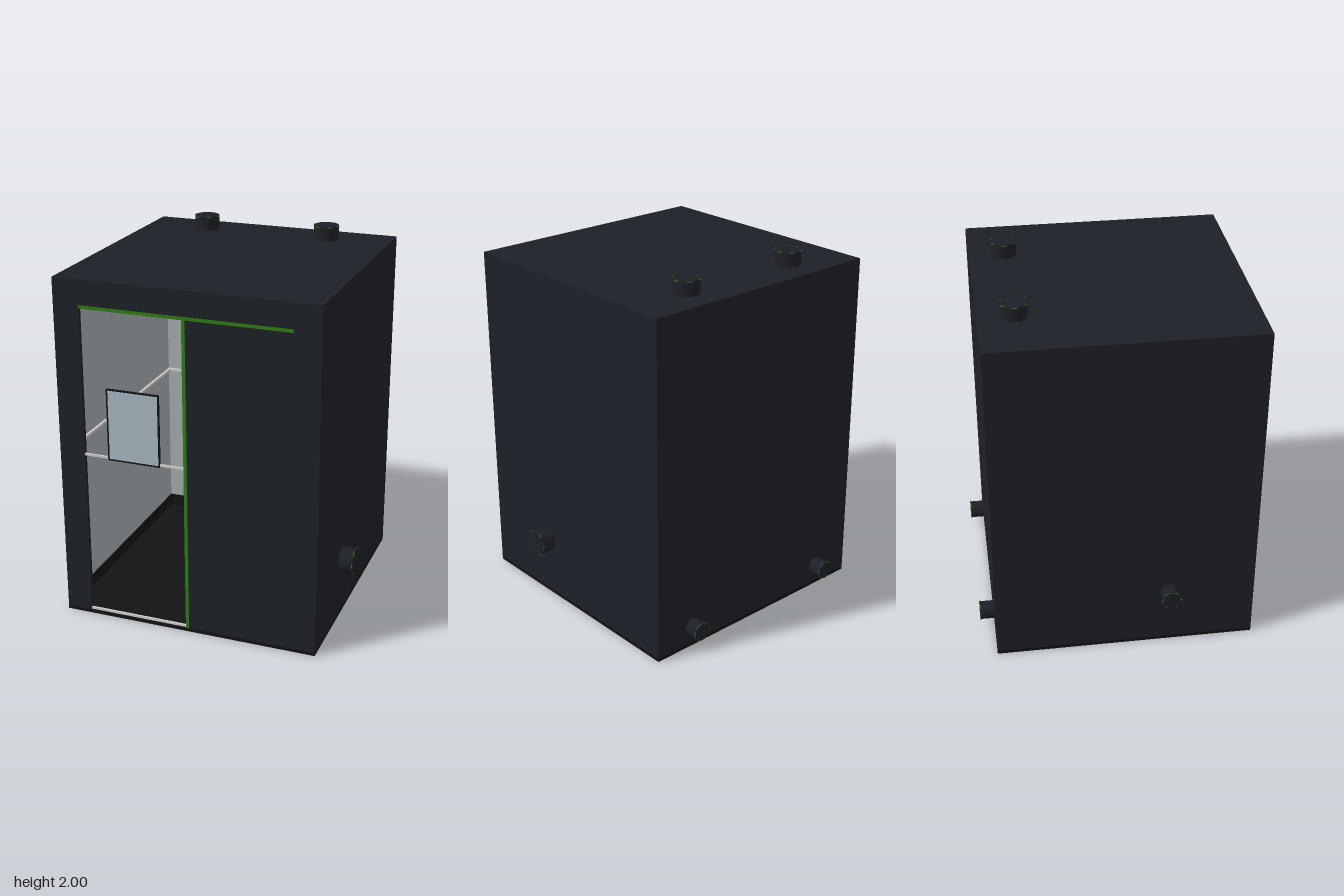
import * as THREE from 'three';

const mat = (color, side = THREE.FrontSide) => new THREE.MeshStandardMaterial({ color, side });

export function createModel() {
  const model = new THREE.Group();
  const dark = mat(0x1d2027), black = mat(0x111315), green = mat(0x2f7d14);
  const white = mat(0xcccccc), lining = mat(0xa8adb0), glass = mat(0xa9b8c2);

  function add(name, geometry, material, x = 0, y = 0, z = 0, parent = model) {
    const mesh = new THREE.Mesh(geometry, material);
    mesh.name = name;
    mesh.position.set(x, y, z);
    parent.add(mesh);
    return mesh;
  }
  // Box given by its lower and upper limits on each axis
  function box(name, material, [x0, x1], [y0, y1], [z0, z1], parent = model) {
    return add(name, new THREE.BoxGeometry(x1 - x0, y1 - y0, z1 - z0), material,
      (x0 + x1) / 2, (y0 + y1) / 2, (z0 + z1) / 2, parent);
  }

  // Cabin shell
  box('floor', black, [-0.72, 0.72], [0, 0.02], [-0.68, 0.755]);
  box('roof', dark, [-0.72, 0.72], [1.9, 1.92], [-0.68, 0.755]);
  box('backWall', dark, [-0.72, 0.72], [0.02, 1.9], [-0.68, -0.66]);
  box('rightWall', dark, [-0.72, -0.7], [0.02, 1.9], [-0.66, 0.755]);
  box('leftWall', dark, [0.7, 0.72], [0.02, 1.9], [-0.66, 0.755]);

  // Front wall with the doorway
  const front = new THREE.Shape([[-0.7, 0.02], [0.7, 0.02], [0.7, 1.9], [-0.7, 1.9]].map(p => new THREE.Vector2(...p)));
  front.holes.push(new THREE.Path([[-0.575, 0.02], [-0.575, 1.77], [0.575, 1.77], [0.575, 0.02]].map(p => new THREE.Vector2(...p))));
  add('frontWall', new THREE.ExtrudeGeometry(front, { depth: 0.02, bevelEnabled: false }), dark, 0, 0, 0.735);

  // Interior lining and skirting
  box('backLining', lining, [-0.7, 0.7], [0.09, 1.9], [-0.66, -0.655]);
  box('backSkirting', black, [-0.7, 0.7], [0.02, 0.09], [-0.66, -0.65]);
  box('ceilingLining', lining, [-0.7, 0.7], [1.895, 1.9], [-0.655, 0.735]);
  for (const s of [-1, 1]) {
    const side = s < 0 ? 'right' : 'left';
    add(side + 'Lining', new THREE.BoxGeometry(0.005, 1.81, 1.39), lining, s * 0.697, 0.995, 0.04);
    add(side + 'Skirting', new THREE.BoxGeometry(0.01, 0.07, 1.39), black, s * 0.695, 0.055, 0.04);
    add(side + 'Handrail', new THREE.BoxGeometry(0.015, 0.015, 1.37), white, s * 0.68, 0.96, 0.04);
  }
  box('backHandrail', white, [-0.69, 0.69], [0.953, 0.968], [-0.645, -0.63]);

  // Sliding door: closed leaf, crossbar and sill on the open half
  box('doorLeaf', dark, [0, 0.575], [0.02, 1.77], [0.735, 0.754]);
  box('doorCrossbar', white, [-0.575, 0], [0.955, 0.967], [0.745, 0.755]);
  box('doorSill', white, [-0.575, 0], [0.025, 0.037], [0.745, 0.757]);
  box('doorTrack', green, [-0.575, 0.575], [1.768, 1.785], [0.745, 0.758]);
  box('doorEdge', green, [-0.01, 0.008], [0.02, 1.77], [0.745, 0.758]);

  // Framed window in the open half
  const windowGroup = new THREE.Group();
  windowGroup.name = 'window';
  model.add(windowGroup);
  box('pane', glass, [-0.43, -0.15], [0.96, 1.34], [0.75, 0.756], windowGroup);
  for (const x of [-0.437, -0.149])
    box('frameSide', black, [x, x + 0.007], [0.95, 1.35], [0.747, 0.76], windowGroup);
  for (const y of [0.95, 1.343])
    box('frameRail', black, [-0.43, -0.149], [y, y + 0.007], [0.747, 0.76], windowGroup);

  // Pipe stub along +y with a thin six-sided rim
  function pipe(name, radius, length, position, rotation) {
    const group = new THREE.Group();
    group.name = name;
    add('stub', new THREE.CylinderGeometry(radius, radius, length, 16), dark, 0, length / 2, 0, group);
    const rim = add('rim', new THREE.TorusGeometry(radius + 0.004, 0.003, 4, 6), green, 0, length - 0.003, 0, group);
    rim.rotation.x = Math.PI / 2;
    group.position.set(...position);
    group.rotation.set(...rotation);
    model.add(group);
    return group;
  }
  const q = Math.PI / 2;
  for (const s of [-1, 1]) {
    pipe('roofVent', 0.07, 0.08, [s * 0.36, 1.92, -0.49], [0, 0, 0]);
    pipe('backPipe', 0.05, 0.08, [s * 0.48, 0.12, -0.68], [-q, 0, 0]);
  }
  // Side pipes, rims turned so that a corner points along z
  pipe('leftPipe', 0.07, 0.08, [0.72, 0.34, 0.28], [0, 0, -q]).children[1].rotation.z = q;
  pipe('rightPipe', 0.05, 0.08, [-0.72, 0.34, 0.28], [0, 0, q]).children[1].rotation.z = q;

  return model;
}
